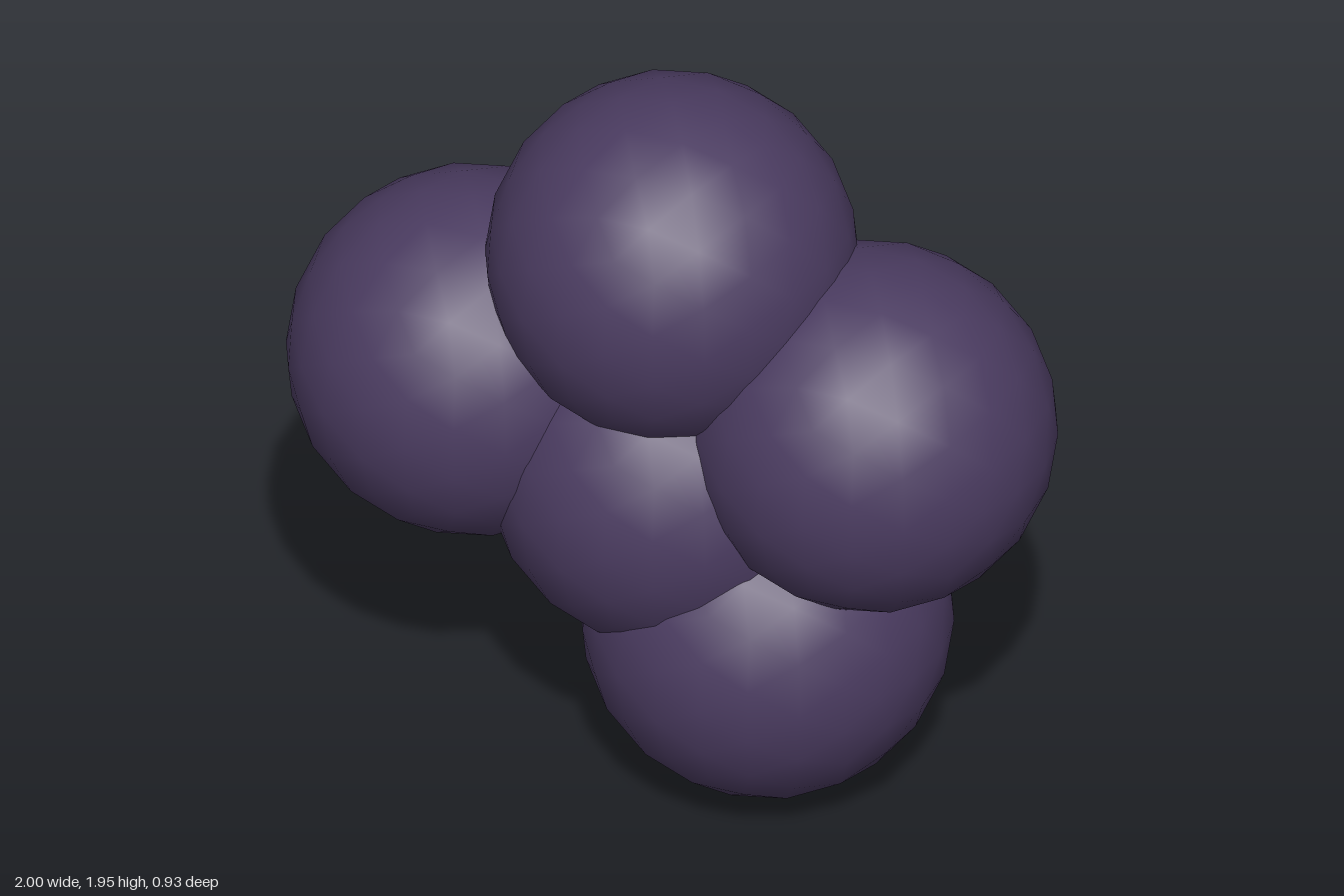
import * as THREE from 'three';

// A cluster of five equal overlapping spheres in one plane
export function createModel() {
  const model = new THREE.Group();
  model.name = 'sphereCluster';

  const darkPurple = new THREE.MeshStandardMaterial({ color: 0x4a3b60 });
  darkPurple.name = 'dark purple';

  // Coarse but smooth-shaded sphere shared by all lobes
  const sphere = new THREE.IcosahedronGeometry(0.467, 3);

  const lobes = [
    ['centerSphere', 0, 0.865],
    ['topSphere', 0, 1.49],
    ['leftSphere', 0.533, 1.11],
    ['rightSphere', -0.533, 1.067],
    ['bottomSphere', 0.255, 0.47],
  ];
  for (const [name, x, y] of lobes) {
    const lobe = new THREE.Mesh(sphere, darkPurple);
    lobe.name = name;
    lobe.position.set(x, y, 0);
    model.add(lobe);
  }
  return model;
}
